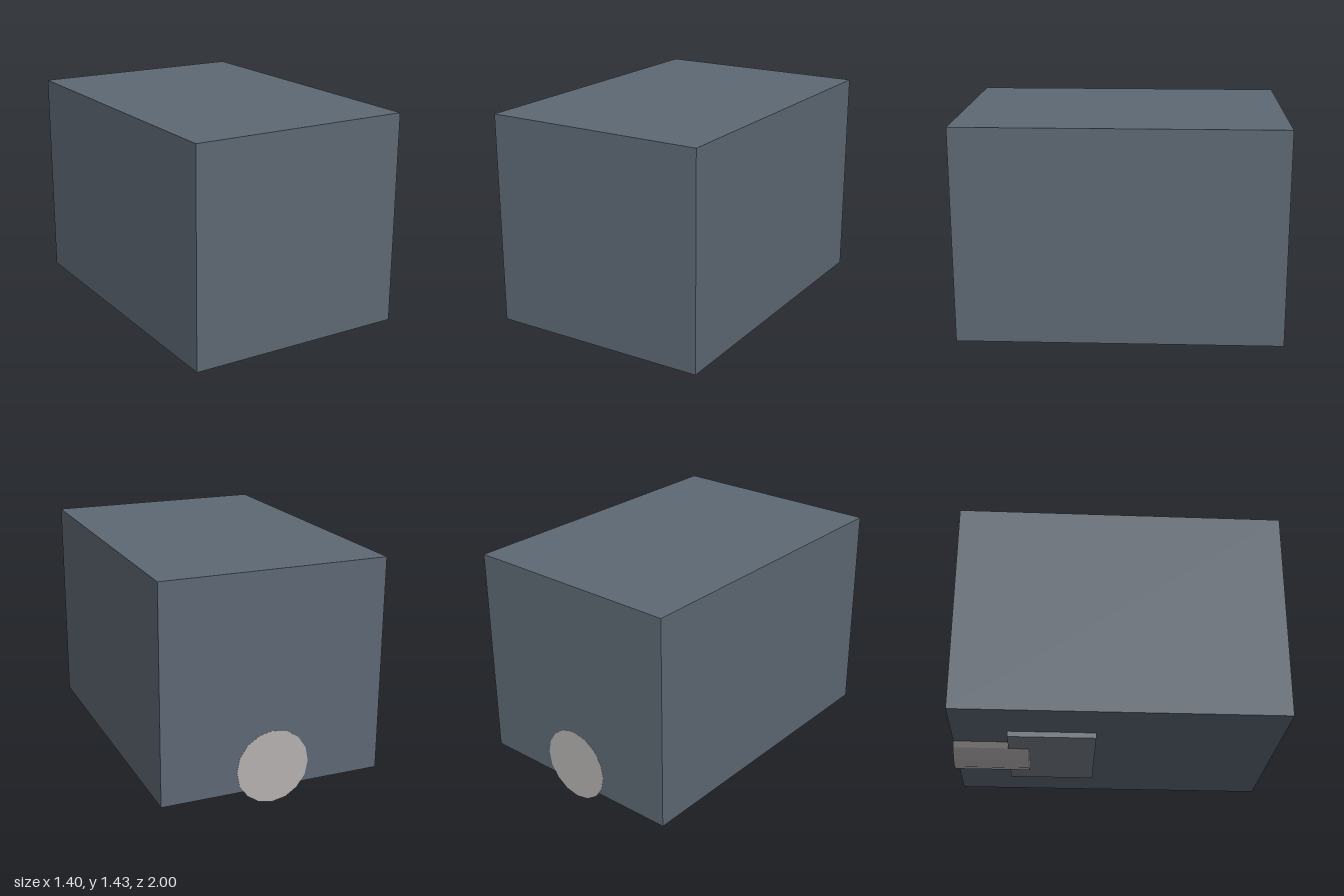
import * as THREE from 'three';

export function createModel() {
  const model = new THREE.Group();

  const add = (name, geometry, color, x, y, z) => {
    const material = new THREE.MeshStandardMaterial({ color, flatShading: true });
    const mesh = new THREE.Mesh(geometry, material);
    mesh.name = name;
    mesh.position.set(x, y, z);
    model.add(mesh);
    return mesh;
  };

  // Main block, raised slightly off the ground
  add('body', new THREE.BoxGeometry(1.4, 1.333, 2), 0x5d6873, 0, 0.767, 0);

  // Thin plate under the body, towards the back
  add('basePlate', new THREE.BoxGeometry(0.733, 0.067, 0.533), 0x737b87, 0, 0.1, -0.397);

  // Sixteen-sided rod sunk into the body, its end just proud of the back face
  const rodGeometry = new THREE.CylinderGeometry(0.23, 0.23, 0.466, 16).rotateX(Math.PI / 2);
  add('rod', rodGeometry, 0xb4b0b0, 0, 0.23, -0.768);

  return model;
}
